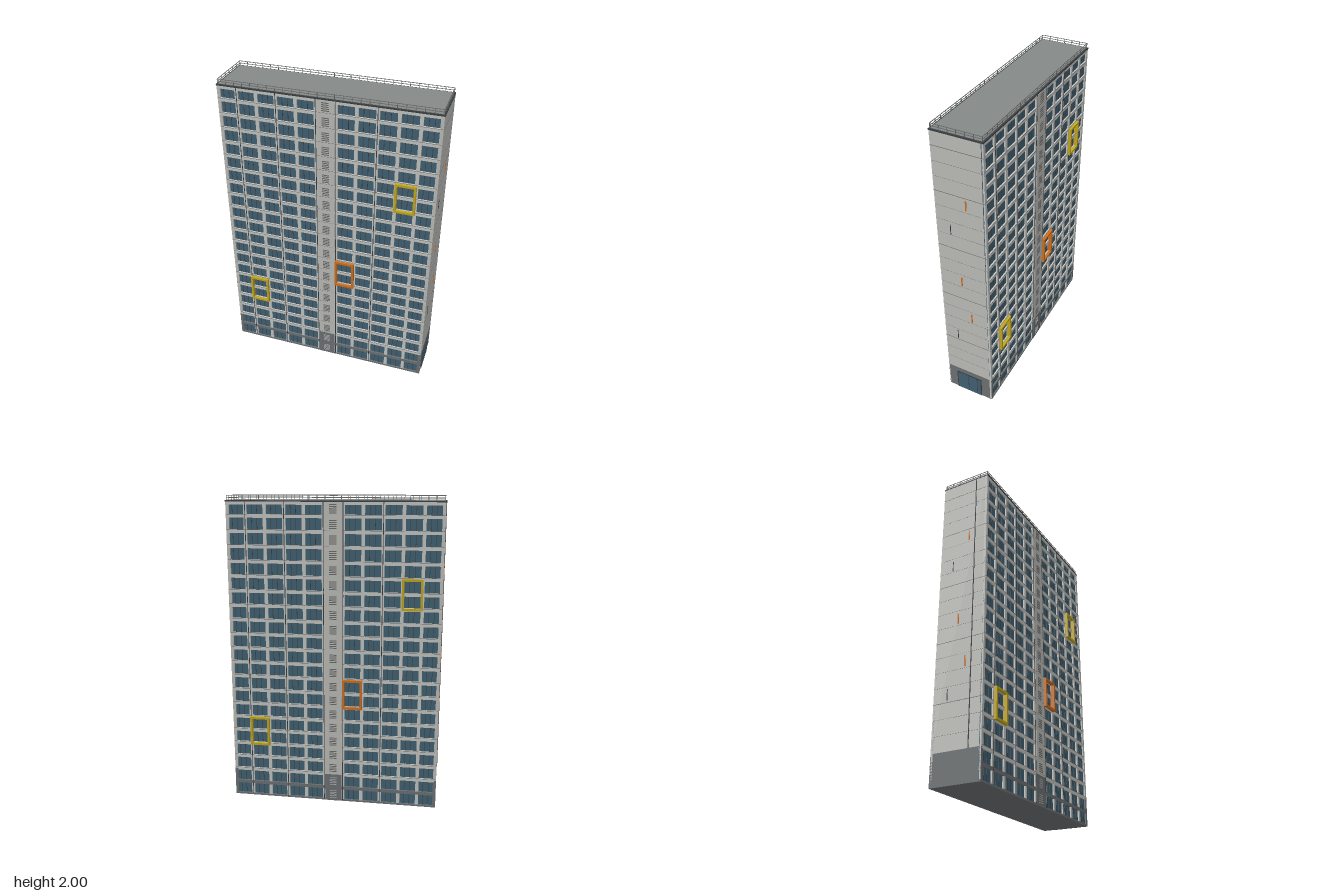
import * as THREE from 'three';

const mat = (name, color) => {
  const m = new THREE.MeshStandardMaterial({ color });
  m.name = name;
  return m;
};

export function createModel() {
  const wall = mat('concrete', 0xbebeba);
  const trim = mat('pale trim', 0xc6c7c3);
  const glass = mat('window blue', 0x426274);
  const base = mat('plinth grey', 0x6e7274);
  const roofGrey = mat('roof grey', 0x858a89);
  const dark = mat('dark metal', 0x3c4043);
  const grey = mat('railing grey', 0x6a6c6c);
  const yellow = mat('yellow', 0xc4a81c);
  const orange = mat('orange', 0xd0701f);

  const W = 0.161, L = 0.677;          // half width and half length
  const FLOORS = 21, F = 0.0937, H = FLOORS * F;
  const BAYS = 11, B = 2 * L / BAYS;

  const box = (parent, name, m, sx, sy, sz, x, y, z) => {
    const mesh = new THREE.Mesh(new THREE.BoxGeometry(sx, sy, sz), m);
    mesh.name = name;
    mesh.position.set(x, y, z);
    parent.add(mesh);
    return mesh;
  };

  const tower = new THREE.Group();
  tower.name = 'tower';
  tower.rotation.y = 0.378;

  // core, plinth and roof
  box(tower, 'core', wall, 2 * (W - 0.014), H - 0.01, 2 * L - 0.02, 0, H / 2, 0);
  box(tower, 'plinth', base, 2 * W, 0.012, 2 * L, 0, 0.006, 0);
  box(tower, 'roofEdge', dark, 2 * W + 0.004, 0.008, 2 * L + 0.004, 0, H - 0.003, 0);
  box(tower, 'roofDeck', roofGrey, 2 * W - 0.016, 0.004, 2 * L - 0.016, 0, H + 0.002, 0);

  // one long facade, facing +x
  function facade() {
    const g = new THREE.Group();
    g.name = 'facade';
    const bayZ = i => L - (i + 0.5) * B;

    // glazing with mullions, five bays either side of the stair
    for (let i = 0; i < BAYS; i++) {
      if (i === 5) continue;
      box(g, 'windowStrip', glass, 0.005, H - 0.02, B, W - 0.012, H / 2, bayZ(i));
      for (const d of [-0.012, 0.022])
        box(g, 'mullion', dark, 0.003, H - 0.02, 0.003, W - 0.009, H / 2, bayZ(i) + d);
    }

    // piers between the bays, some with a dark joint
    for (let i = 0; i <= BAYS; i++) {
      const end = i === 0 || i === BAYS;
      const w = end ? 0.014 : 0.021;
      const z = L - i * B + (i === 0 ? -w / 2 : i === BAYS ? w / 2 : 0);
      box(g, 'pier', trim, 0.014, H - 0.012, w, W - 0.008, H / 2, z);
      if ([1, 3, 5, 6, 8].includes(i))
        box(g, 'joint', dark, 0.003, H - 0.012, 0.004, W - 0.0005, H / 2, z);
    }

    // floor bands with a thin sill shadow rail
    for (let k = 1; k <= FLOORS; k++) {
      const y = k === FLOORS ? H - 0.014 : k * F;
      box(g, 'floorBand', k === 1 ? base : trim, 0.014, 0.022, 2 * L - 0.004, W - 0.007, y, 0);
      if (k < FLOORS)
        box(g, 'sill', grey, 0.002, 0.002, 2 * L - 0.006, W + 0.0005, y + 0.009, 0);
    }

    // stair shaft with louvres on each floor
    const shaftW = B - 0.012;
    box(g, 'stairShaft', wall, 0.016, H - 2 * F - 0.01, shaftW, W - 0.0065, (H + 2 * F - 0.01) / 2, 0);
    box(g, 'stairBase', base, 0.016, 2 * F, shaftW, W - 0.0065, F, 0);
    for (let k = 0; k < FLOORS; k++)
      for (let s = 0; s < 5; s++)
        box(g, 'louvre', k < 2 ? trim : grey, 0.002, k < 2 ? 0.003 : 0.006, 0.045,
          W + 0.002, k * F + 0.022 + s * 0.012, 0.002);

    // coloured frames, each around one bay and two floors
    for (const [bay, floor, m] of [[1, 4, yellow], [6, 7, orange], [9, 14, yellow]]) {
      const f = new THREE.Group();
      f.name = 'accentFrame';
      f.position.set(W + 0.005, (floor + 1) * F, bayZ(bay));
      const h = 2 * F + 0.008, w = B + 0.006, t = 0.014, d = 0.026;
      for (const s of [-1, 1]) {
        box(f, 'frameSide', m, d, h, t, 0, 0, s * (w - t) / 2);
        box(f, 'frameBar', m, d, t, w, 0, s * (h - t) / 2, 0);
      }
      g.add(f);
    }
    return g;
  }

  // one end wall, facing +z
  function gable() {
    const g = new THREE.Group();
    g.name = 'endWall';
    box(g, 'endPanel', wall, 2 * W, H - 2 * F - 0.006, 0.02, 0, (H + 2 * F - 0.006) / 2, L - 0.01);
    box(g, 'endBase', base, 2 * W, 2 * F, 0.02, 0, F, L - 0.01);
    // panel joints
    for (let k = 3; k < FLOORS; k++) {
      const major = [5, 9, 13, 17, 20].includes(k);
      box(g, 'panelJoint', grey, 2 * W, major ? 0.003 : 0.001, 0.001, 0, k * F, L + 0.0002);
    }
    // slim accent strips
    for (const [x, y, m] of [[0.04, 1.545, orange], [-0.016, 0.98, orange], [0.04, 0.7, orange],
      [-0.069, 1.35, dark], [-0.069, 0.515, dark]])
      box(g, 'accentStrip', m, m === dark ? 0.004 : 0.008, 0.066, 0.004, x, y, L + 0.001);
    return g;
  }

  // both halves match when turned half way round
  for (const turn of [0, Math.PI]) {
    const half = new THREE.Group();
    half.name = turn ? 'rearHalf' : 'frontHalf';
    half.rotation.y = turn;
    half.add(facade(), gable());
    tower.add(half);
  }

  // rear downpipe
  box(tower, 'downpipe', dark, 0.005, H - 2 * F, 0.005, -0.08, H / 2 + F, -L - 0.001);

  // front entrance
  const door = new THREE.Group();
  door.name = 'entrance';
  door.position.set(-0.006, 0, L);
  box(door, 'doorFrame', dark, 0.184, 0.152, 0.004, 0, 0.076, 0.001);
  box(door, 'doorGlass', glass, 0.17, 0.142, 0.004, 0, 0.073, 0.002);
  for (const x of [-0.005, 0.06])
    box(door, 'doorMullion', dark, 0.004, 0.142, 0.004, x, 0.073, 0.003);
  tower.add(door);

  // roof railing
  const rail = new THREE.Group();
  rail.name = 'roofRailing';
  const rx = W - 0.006, rz = L - 0.006, top = 1.998;
  for (const s of [-1, 1]) {
    for (const y of [1.984, top]) {
      box(rail, 'longRail', grey, 0.003, 0.003, 2 * rz, s * rx, y, 0);
      box(rail, 'shortRail', grey, 2 * rx, 0.003, 0.003, 0, y, s * rz);
    }
    for (let i = 0; i <= 26; i++)
      box(rail, 'post', grey, 0.003, 0.032, 0.003, s * rx, 1.982, -rz + i * 2 * rz / 26);
    for (let i = 1; i < 6; i++)
      box(rail, 'post', grey, 0.003, 0.032, 0.003, -rx + i * 2 * rx / 6, 1.982, s * rz);
  }
  tower.add(rail);

  const model = new THREE.Group();
  model.name = 'apartmentTower';
  model.add(tower);
  return model;
}
